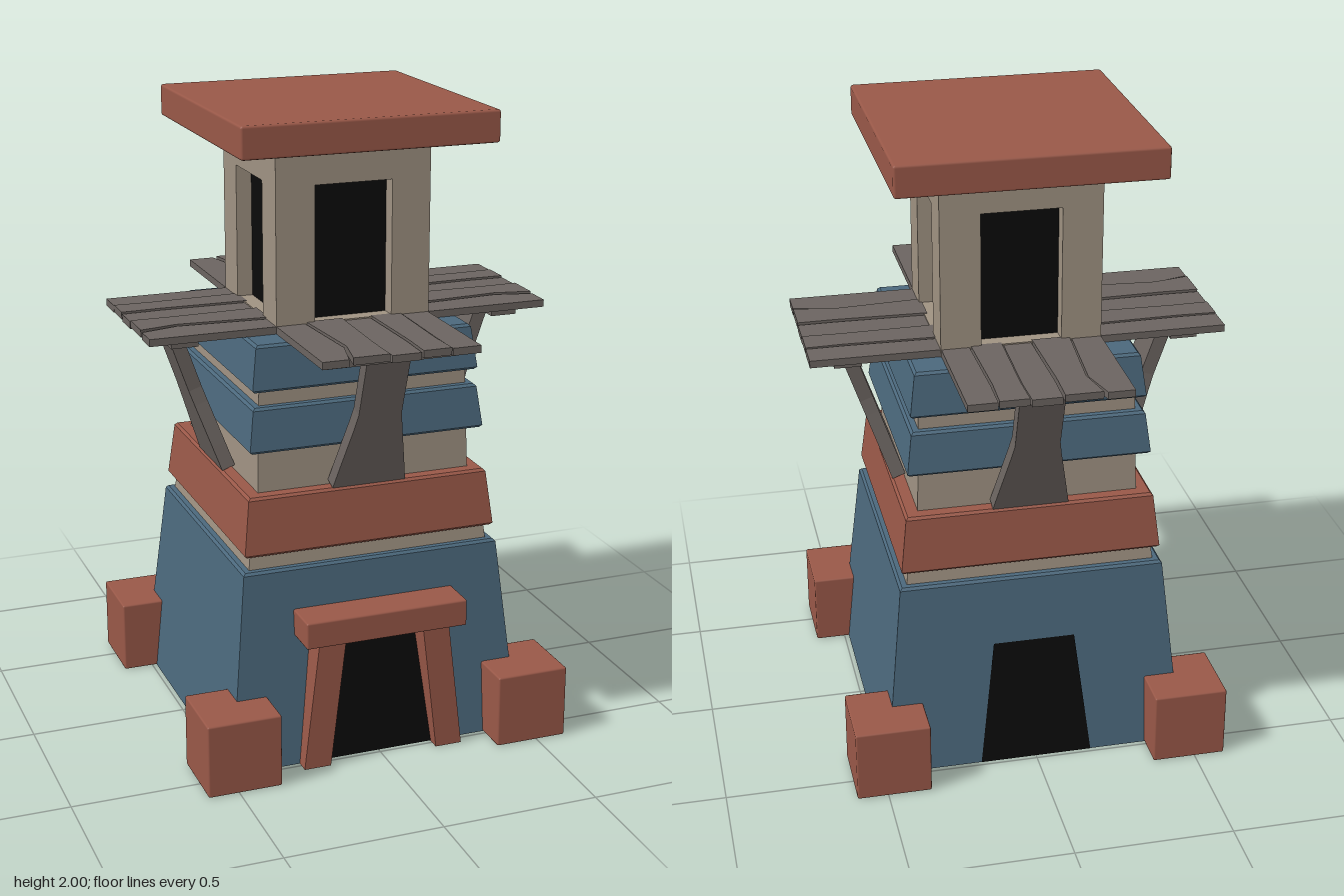
import * as THREE from 'three';
import { RoundedBoxGeometry } from 'three/addons/geometries/RoundedBoxGeometry.js';

const mat = (name, color, side = THREE.FrontSide) => {
  const m = new THREE.MeshStandardMaterial({ color, side });
  m.name = name;
  return m;
};

export function createModel() {
  const red = mat('red clay', 0x995848);
  const blue = mat('blue plaster', 0x4b687c, THREE.DoubleSide);
  const cream = mat('cream stone', 0x9f9282);
  const wood = mat('grey wood', 0x6b6460);
  const black = mat('dark opening', 0x0a0a0a);

  const model = new THREE.Group();
  model.name = 'watchtower';

  const add = (parent, name, geo, material, x = 0, y = 0, z = 0) => {
    const mesh = new THREE.Mesh(geo, material);
    mesh.name = name;
    mesh.position.set(x, y, z);
    parent.add(mesh);
    return mesh;
  };

  // Box given by its extents, with slightly softened edges
  const block = (parent, name, material, x0, x1, y0, y1, z0, z1, r = 0.006) => {
    const w = x1 - x0, h = y1 - y0, d = z1 - z0;
    const geo = r ? new RoundedBoxGeometry(w, h, d, 1, r) : new THREE.BoxGeometry(w, h, d);
    return add(parent, name, geo, material, (x0 + x1) / 2, (y0 + y1) / 2, (z0 + z1) / 2);
  };

  // Square tapered tier with chamfered rims; h0 and h1 are half widths
  const tier = (name, material, y0, y1, h0, h1, open = false) => {
    const b = 0.008;
    const pts = open ? [[h0, y0]] : [[0, y0], [h0 - b, y0], [h0, y0 + b]];
    pts.push([h1, y1 - b], [h1 - b, y1], [0, y1]);
    const profile = pts.map(([h, y]) => new THREE.Vector2(h * Math.SQRT2, y));
    const geo = new THREE.LatheGeometry(profile, 4, Math.PI / 4).toNonIndexed();
    geo.computeVertexNormals();
    return add(model, name, geo, material);
  };

  const polygon = (pts) => new THREE.Shape(pts.map(([x, y]) => new THREE.Vector2(x, y)));

  // Tower body
  tier('base', blue, 0, 0.635, 0.485, 0.42, true);
  tier('lowerStone', cream, 0.6, 0.7, 0.398, 0.388);
  tier('redBand', red, 0.68, 0.865, 0.412, 0.392);
  tier('middleStone', cream, 0.85, 1.2, 0.348, 0.338);
  tier('lowerBlueBand', blue, 1.0, 1.14, 0.382, 0.366);
  tier('upperBlueBand', blue, 1.187, 1.33, 0.367, 0.35);

  // Corner blocks at the foot
  for (const sx of [-1, 1]) {
    for (const sz of [-1, 1]) {
      const c = new RoundedBoxGeometry(0.236, 0.236, 0.236, 1, 0.006);
      add(model, 'cornerBlock', c, red, sx * 0.48, 0.118, sz * 0.48);
    }
  }

  // Doorways lie on the sloping front and back walls
  const slope = Math.atan((0.485 - 0.42) / 0.635);
  for (const turn of [0, Math.PI]) {
    const geo = new THREE.ShapeGeometry(polygon([[-0.18, 0.002], [0.18, 0.002], [0.13, 0.418], [-0.13, 0.418]]));
    geo.rotateX(-slope);
    geo.translate(0, 0, 0.489);
    geo.rotateY(turn);
    add(model, 'doorway', geo, black);
  }

  // Front door frame
  for (const s of [-1, 1]) {
    const pts = [[0.178, 0], [0.265, 0], [0.215, 0.42], [0.128, 0.42]].map(([x, y]) => [s * x, y]);
    const geo = new THREE.ExtrudeGeometry(polygon(pts), { depth: 0.095, bevelEnabled: false });
    add(model, 'doorJamb', geo, red, 0, 0, 0.435);
  }
  block(model, 'doorLintel', red, -0.265, 0.265, 0.417, 0.503, 0.42, 0.555);

  // Lookout room with recessed openings on all sides
  const room = new THREE.Group();
  room.name = 'lookoutRoom';
  model.add(room);
  block(room, 'roomFloor', cream, -0.25, 0.25, 1.31, 1.356, -0.25, 0.25, 0);
  for (const sx of [-1, 1]) {
    for (const sz of [-1, 1]) {
      add(room, 'roomPost', new THREE.BoxGeometry(0.125, 0.424, 0.125), cream, sx * 0.1875, 1.568, sz * 0.1875);
    }
  }
  block(room, 'roomLintel', cream, -0.25, 0.25, 1.78, 1.91, -0.25, 0.25, 0);
  block(room, 'windows', black, -0.2, 0.2, 1.35, 1.79, -0.2, 0.2, 0);
  block(model, 'roof', red, -0.408, 0.408, 1.9, 2.0, -0.408, 0.408, 0.008);

  // Planks as [left edge, right edge], each edge: inner, middle, outer
  const planks = [
    [[-0.25, -0.25, -0.25], [-0.158, -0.138, -0.168]],
    [[-0.152, -0.131, -0.155], [-0.034, -0.042, -0.04]],
    [[-0.03, -0.036, -0.034], [0.056, 0.062, 0.058]],
    [[0.061, 0.067, 0.064], [0.157, 0.15, 0.154]],
    [[0.162, 0.156, 0.158], [0.248, 0.248, 0.248]],
  ];
  const along = [0.24, 0.53, 0.648];
  const lift = [0, 0.004, -0.002, 0.003, 0];

  // One balcony facing +z, turned to each side
  const balcony = (turn, flip) => {
    const g = new THREE.Group();
    g.name = 'balcony';
    planks.forEach(([left, right], i) => {
      const pts = [
        ...left.map((x, k) => [flip * x, -along[k]]),
        ...right.map((x, k) => [flip * x, -along[k]]).reverse(),
      ];
      const geo = new THREE.ExtrudeGeometry(polygon(pts), { depth: 0.023, bevelEnabled: false });
      geo.rotateX(-Math.PI / 2);
      add(g, 'plank', geo, wood, 0, 1.331 + lift[i], 0);
    });
    block(g, 'crossBeam', wood, -0.21, 0.21, 1.305, 1.335, 0.485, 0.57, 0);

    // Flared brace leaning outward
    const half = [[0.12, 0], [0.105, 0.08], [0.078, 0.22], [0.07, 0.27], [0.07, 0.465]];
    const outline = [...half, ...half.map(([x, y]) => [-x, y]).reverse()];
    const geo = new THREE.ExtrudeGeometry(polygon(outline), { depth: 0.044, bevelEnabled: false });
    geo.translate(0, 0, -0.022);
    geo.rotateX(0.335);
    add(g, 'brace', geo, wood, 0, 0.872, 0.367);
    g.rotation.y = turn;
    model.add(g);
  };
  balcony(0, 1);
  balcony(Math.PI / 2, 1);
  balcony(Math.PI, -1);
  balcony(-Math.PI / 2, -1);

  return model;
}
